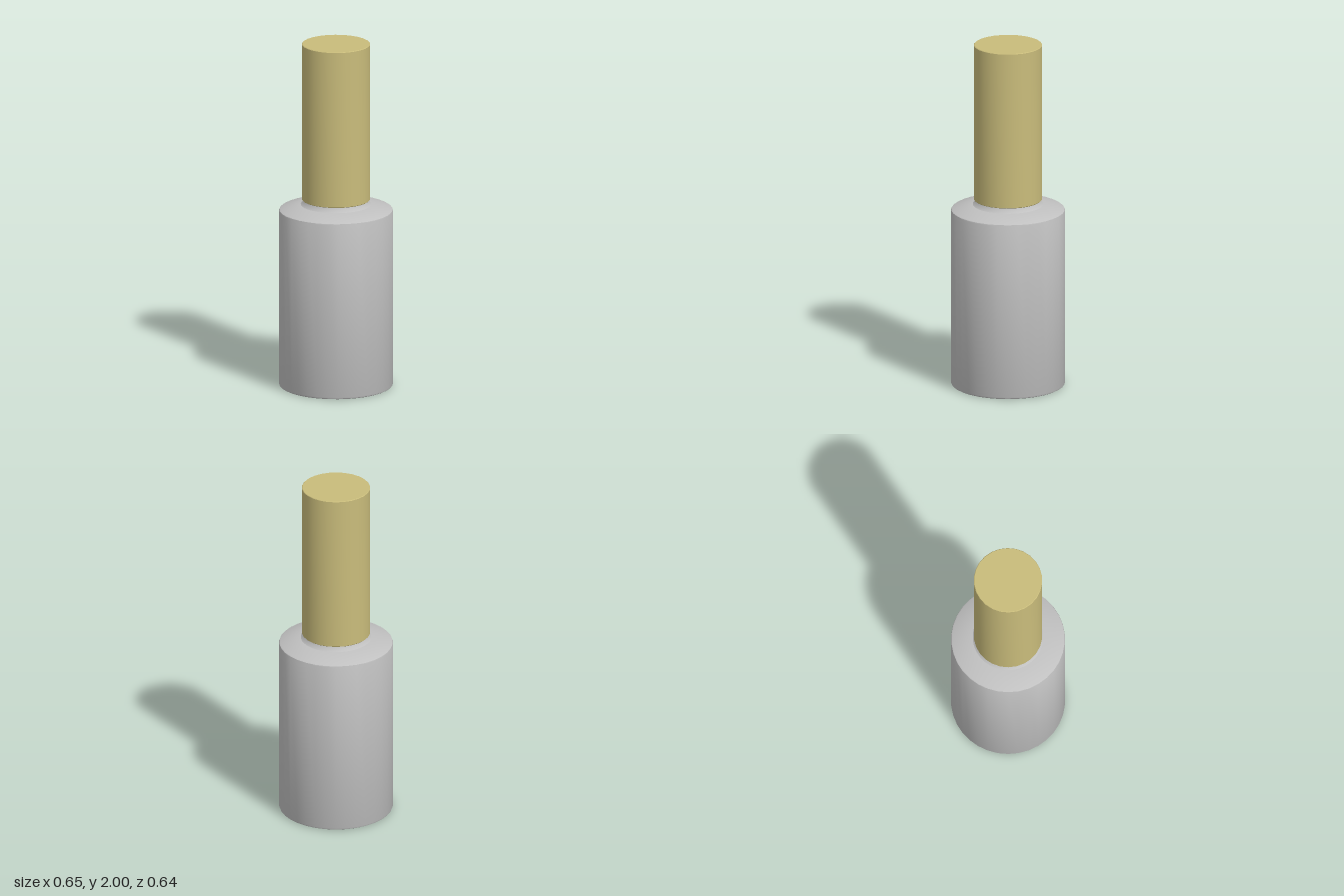
import * as THREE from 'three';
import { toCreasedNormals } from 'three/addons/utils/BufferGeometryUtils.js';

// Turned solid from a radius/height profile, with a corner on the x axis
function turned(name, profile, sides, material) {
  const points = profile.map(([r, y]) => new THREE.Vector2(r, y));
  const lathe = new THREE.LatheGeometry(points, sides, Math.PI / 2);
  const mesh = new THREE.Mesh(toCreasedNormals(lathe, 0.6), material);
  mesh.name = name;
  return mesh;
}

export function createModel() {
  const grey = new THREE.MeshStandardMaterial({ color: 0xc0c0c0 });
  grey.name = 'grey glass';
  const gold = new THREE.MeshStandardMaterial({ color: 0xc9bc7b });
  gold.name = 'pale gold';

  const group = new THREE.Group();
  group.name = 'bottle';

  // Body with softened rims and a shallow sloping shoulder
  group.add(turned('body', [
    [0, 0], [0.313, 0], [0.32, 0.004], [0.323, 0.012],
    [0.323, 1.022], [0.321, 1.028], [0.315, 1.032], [0.2, 1.06], [0, 1.06],
  ], 34, grey));

  // Short tapered neck under the cap
  group.add(turned('neck', [
    [0, 1.058], [0.2, 1.06], [0.185, 1.072], [0.178, 1.09], [0, 1.09],
  ], 34, grey));

  // Tall cap with fine edge bevels
  group.add(turned('cap', [
    [0, 1.088], [0.191, 1.088], [0.194, 1.091],
    [0.194, 1.997], [0.191, 2], [0, 2],
  ], 26, gold));

  return group;
}
